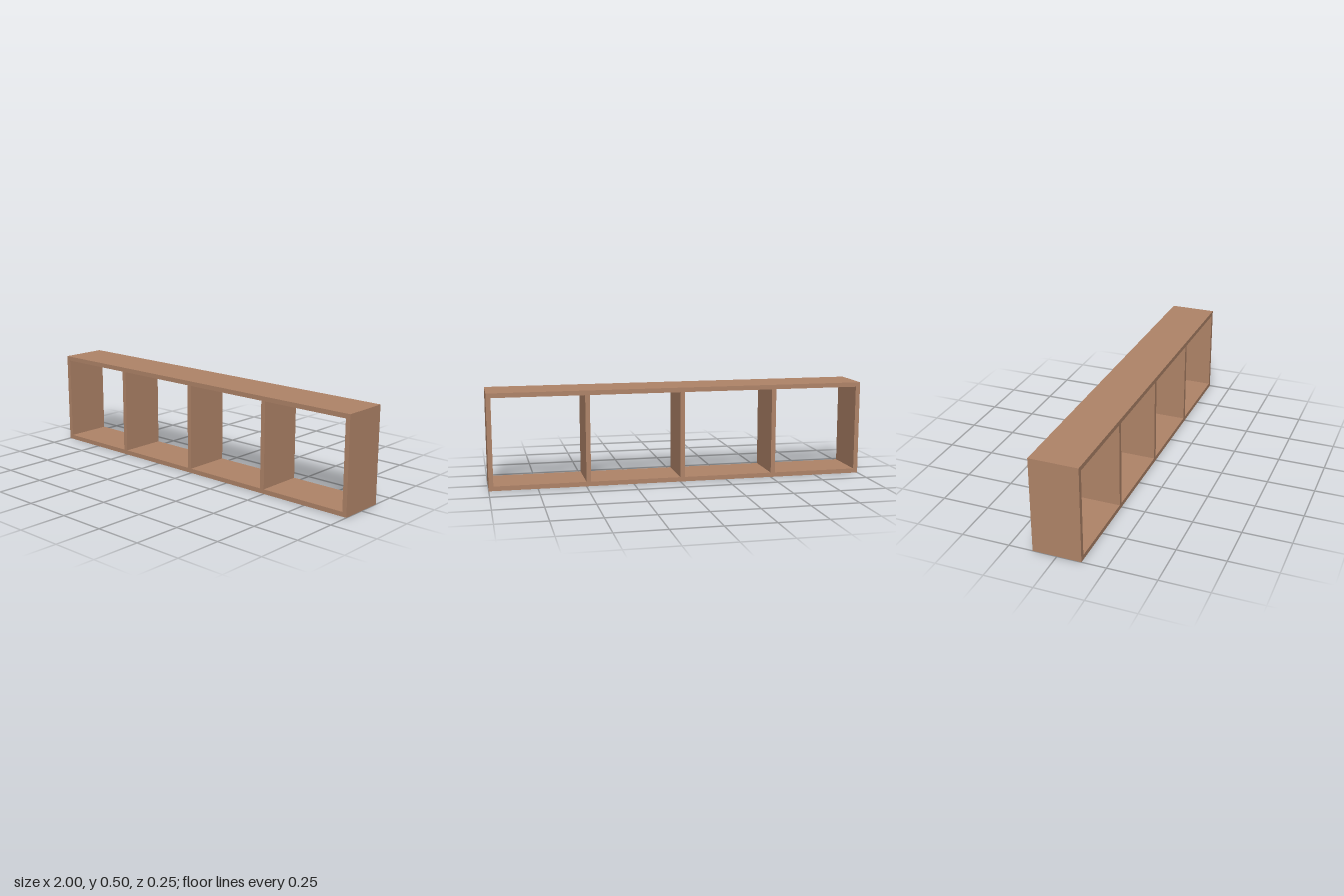
import * as THREE from 'three';

export function createModel() {
  const group = new THREE.Group();
  group.name = 'cubbyShelf';
  const wood = new THREE.MeshStandardMaterial({ color: 0xb08468 });
  wood.name = 'warm brown wood';

  const width = 2, height = 0.502, depth = 0.25, t = 0.024;

  function board(name, w, h, x, y) {
    const mesh = new THREE.Mesh(new THREE.BoxGeometry(w, h, depth), wood);
    mesh.name = name;
    mesh.position.set(x, y, 0);
    group.add(mesh);
  }

  // Full-width top and bottom boards
  board('bottomBoard', width, t, 0, t / 2);
  board('topBoard', width, t, 0, height - t / 2);

  // Side walls and dividers fit between them
  const innerHeight = height - 2 * t;
  board('rightSide', t, innerHeight, -width / 2 + t / 2, height / 2);
  board('leftSide', t, innerHeight, width / 2 - t / 2, height / 2);

  // Dividers step back in half units from the left side, so one bay is narrower
  [0.5, 0, -0.5].forEach((edge, i) => {
    board('divider' + (i + 1), t, innerHeight, edge - t / 2, height / 2);
  });

  return group;
}
